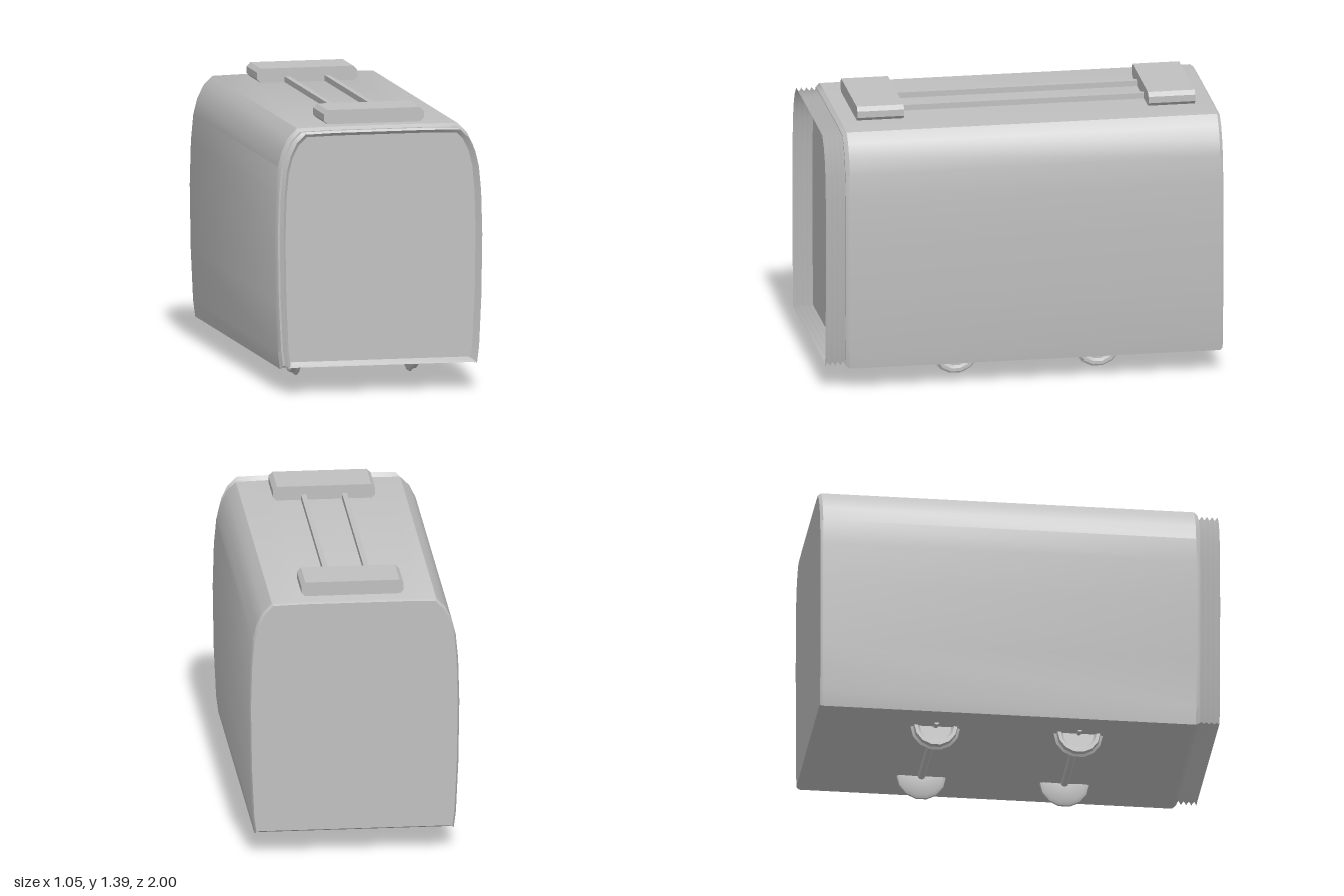
import * as THREE from 'three';
import { toCreasedNormals } from 'three/addons/utils/BufferGeometryUtils.js';

const CENTRE_Y = 0.72;

// Right half of the carriage cross-section, floor to roof
const half = [
  [0.485, 0.122], [0.497, 0.116], [0.508, 0.2], [0.52, 0.46], [0.525, 0.78], [0.519, 1.0],
  [0.507, 1.13], [0.487, 1.21], [0.455, 1.275], [0.41, 1.32], [0.25, 1.324],
];
const section = [...half, ...half.map(([x, y]) => [-x, y]).reverse()];

// Skins scaled copies of the cross-section; rings are [z, scaleX, scaleY]
function loft(rings, capped) {
  const pos = [];
  const n = section.length;
  const point = ([z, sx, sy], i) => {
    const [x, y] = section[i % n];
    return [x * sx, CENTRE_Y + (y - CENTRE_Y) * sy, z];
  };
  for (let j = 0; j < rings.length - 1; j++) {
    for (let i = 0; i < n; i++) {
      const a = point(rings[j], i), b = point(rings[j], i + 1);
      const c = point(rings[j + 1], i + 1), d = point(rings[j + 1], i);
      pos.push(...a, ...b, ...c, ...a, ...c, ...d);
    }
  }
  if (capped) {
    const back = rings[0], front = rings[rings.length - 1];
    for (let i = 0; i < n; i++) {
      pos.push(0, CENTRE_Y, back[0], ...point(back, i + 1), ...point(back, i));
      pos.push(0, CENTRE_Y, front[0], ...point(front, i), ...point(front, i + 1));
    }
  }
  const g = new THREE.BufferGeometry();
  g.setAttribute('position', new THREE.Float32BufferAttribute(pos, 3));
  return toCreasedNormals(g, 0.6);
}

export function createModel() {
  const model = new THREE.Group();
  model.name = 'carriage';
  const grey = new THREE.MeshStandardMaterial({ color: 0xc0c0c0, side: THREE.DoubleSide });
  grey.name = 'grey';

  function add(name, geometry, x = 0, y = 0, z = 0, parent = model) {
    const mesh = new THREE.Mesh(geometry, grey);
    mesh.name = name;
    mesh.position.set(x, y, z);
    parent.add(mesh);
    return mesh;
  }

  // Long closed body with softened ends
  add('body', loft([
    [-1, 0.982, 0.985], [-0.985, 1, 1], [0.88, 1, 1], [0.9, 0.975, 0.975],
  ], true));

  // Open pleated gangway at the front
  const pleats = [];
  for (let i = 0; i <= 8; i++) {
    const ridge = i % 2 === 0;
    pleats.push([0.896 + i * 0.013, ridge ? 0.965 : 0.94, ridge ? 0.975 : 0.95]);
  }
  add('gangwayBellows', loft(pleats, false));

  // Roof units: chamfered slabs, one near each end
  const w = 0.255, lo = 1.322, hi = 1.395, c = 0.02;
  const slab = new THREE.Shape([
    [-w + c, lo], [w - c, lo], [w, lo + c], [w, hi - c],
    [w - c, hi], [-w + c, hi], [-w, hi - c], [-w, lo + c],
  ].map(([x, y]) => new THREE.Vector2(x, y)));
  const slabGeometry = new THREE.ExtrudeGeometry(slab, { depth: 0.235, bevelEnabled: false });
  add('frontRoofUnit', slabGeometry, 0, 0, 0.565);
  add('rearRoofUnit', slabGeometry, 0, 0, -0.902);

  // Twin conduits joining the roof units
  for (const side of [-1, 1]) {
    add('roofConduit', new THREE.BoxGeometry(0.026, 0.035, 1.25), side * 0.102, 1.335, -0.05);
  }

  // Flanged wheel, flange on the inner side, dished outer face
  const wheelProfile = [
    [0, -0.015], [0.105, -0.02], [0.122, -0.012], [0.124, -0.003],
    [0.112, 0.004], [0.108, 0.026], [0.092, 0.026], [0.08, 0.012], [0, 0.012],
  ].map(([r, y]) => new THREE.Vector2(r, y));
  const wheelGeometry = toCreasedNormals(new THREE.LatheGeometry(wheelProfile, 14), 0.6);

  // Two axles with a wheel on each side
  for (const z of [0.315, -0.4]) {
    const wheelset = new THREE.Group();
    wheelset.name = 'wheelset';
    wheelset.position.set(0, 0.124, z);
    model.add(wheelset);
    add('axle', new THREE.CylinderGeometry(0.019, 0.019, 0.6, 10), 0, 0, 0, wheelset)
      .rotation.z = Math.PI / 2;
    add('axleEnds', new THREE.CylinderGeometry(0.012, 0.012, 0.71, 10), 0, 0, 0, wheelset)
      .rotation.z = Math.PI / 2;
    for (const side of [-1, 1]) {
      add('wheel', wheelGeometry, side * 0.297, 0, 0, wheelset).rotation.z = -side * Math.PI / 2;
    }
  }
  return model;
}
